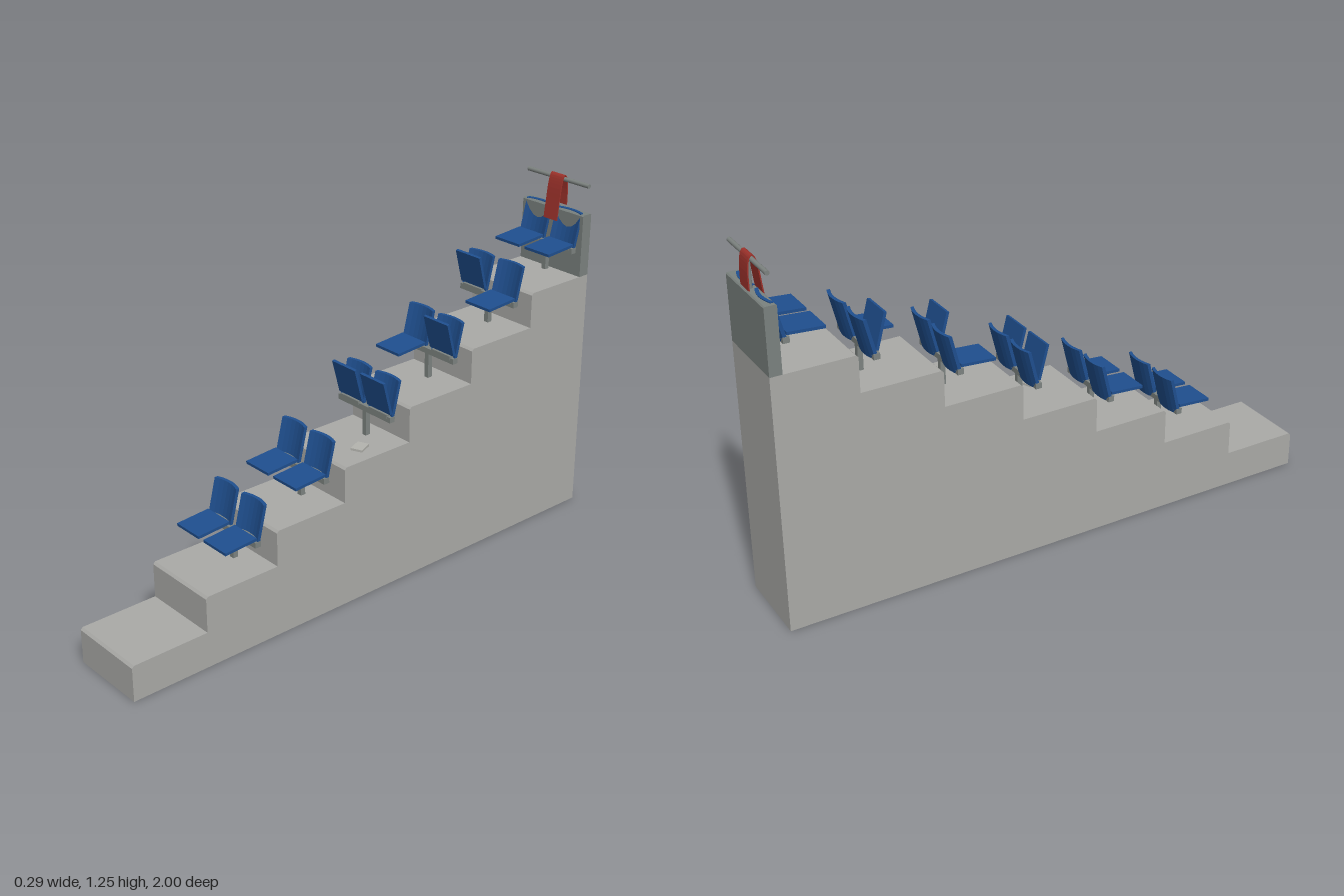
import * as THREE from 'three';

const mat = (name, color) => {
  const m = new THREE.MeshStandardMaterial({ color });
  m.name = name;
  return m;
};

export function createModel() {
  const concrete = mat('concrete', 0xaaaaa7);
  const wallGrey = mat('wallGrey', 0x7b827f);
  const metal = mat('metal', 0x7d8380);
  const blue = mat('seatBlue', 0x1f4f8f);
  const red = mat('clothRed', 0x9e322b);
  const paper = mat('paper', 0xb4b4ae);
  concrete.flatShading = false;

  const model = new THREE.Group();
  model.name = 'grandstand';
  const add = (parent, name, geo, material, x = 0, y = 0, z = 0) => {
    const m = new THREE.Mesh(geo, material);
    m.name = name;
    m.position.set(x, y, z);
    parent.add(m);
    return m;
  };
  const box = (w, h, d) => new THREE.BoxGeometry(w, h, d);

  // Side profile drawn as (-z, y), extruded across x
  const across = (points, width) => {
    const shape = new THREE.Shape(points.map(([a, b]) => new THREE.Vector2(a, b)));
    const g = new THREE.ExtrudeGeometry(shape, { depth: width, bevelEnabled: false });
    g.translate(0, 0, -width / 2);
    return g.rotateY(Math.PI / 2);
  };

  // Stepped concrete body with chamfered nosings
  const STEPS = 7, RISE = 0.129, RUN = 2 / STEPS, W = 0.286, C = 0.008;
  const profile = [[1, 0], [1, STEPS * RISE]];
  for (let i = STEPS - 1; i >= 0; i--) {
    const a = -1 + i * RUN, y = (i + 1) * RISE;
    profile.push([a + C, y], [a, y - C], [a, i * RISE]);
  }
  add(model, 'steps', across(profile, W), concrete);

  // Rear parapet wall
  const base = STEPS * RISE, top = 1.13;
  add(model, 'backWall', across([
    [0.958, base], [1, base], [1, top - 0.004], [0.996, top], [0.962, top], [0.958, top - 0.004],
  ], W), wallGrey);

  // Handrail and its support
  const rail = new THREE.CylinderGeometry(0.008, 0.008, W, 12).rotateZ(Math.PI / 2);
  add(model, 'handrail', rail, metal, 0, 1.232, -0.98);
  add(model, 'railPost', new THREE.CylinderGeometry(0.006, 0.006, 0.11, 10), metal, 0, 1.178, -0.98);

  // Cloth draped over the rail: one folded strip with thickness
  const drape = new THREE.CatmullRomCurve3([
    [0.948, 1.085], [0.956, 1.15], [0.964, 1.21], [0.973, 1.24], [0.98, 1.245],
    [0.988, 1.238], [0.995, 1.2], [0.996, 1.135],
  ].map(([a, y]) => new THREE.Vector3(a, y, 0))).getPoints(24);
  const outer = [], inner = [];
  drape.forEach((p, i) => {
    const q = drape[Math.min(i + 1, 24)], r = drape[Math.max(i - 1, 0)];
    const n = new THREE.Vector2(-(q.y - r.y), q.x - r.x).normalize().multiplyScalar(0.002);
    outer.push([p.x + n.x, p.y + n.y]);
    inner.unshift([p.x - n.x, p.y - n.y]);
  });
  add(model, 'drapedCloth', across([...outer, ...inner], 0.062), red);

  // Curved, reclined seat back: plan arc extruded upward and sheared
  const HW = 0.0575, H = 0.14;
  const plan = new THREE.Shape();
  plan.moveTo(-HW, 0);
  plan.quadraticCurveTo(0, 0.024, HW, 0);
  plan.lineTo(HW, 0.012);
  plan.quadraticCurveTo(0, 0.036, -HW, 0.012);
  const backGeo = new THREE.ExtrudeGeometry(plan, { depth: H, bevelEnabled: false, curveSegments: 6 });
  backGeo.rotateX(-Math.PI / 2);
  const p = backGeo.attributes.position;
  for (let i = 0; i < p.count; i++) p.setZ(i, p.getZ(i) + 0.007 - 0.25 * p.getY(i));
  backGeo.computeVertexNormals();

  // Seat pan, hinged at its rear edge
  const panGeo = box(0.115, 0.01, 0.125).translate(0, 0, 0.0625);

  // Seat pairs on every step but the first; folded lists the raised pans
  const folded = { 3: [-1, 1], 4: [1], 5: [-1] };
  for (let i = 1; i < STEPS; i++) {
    const pair = new THREE.Group();
    pair.name = 'seatPair' + i;
    pair.position.set(0, (i + 1) * RISE, 1 - i * RUN - 0.219);
    add(pair, 'post', box(0.018, 0.1, 0.018), metal, 0, 0.05, 0);
    add(pair, 'crossbar', box(0.26, 0.02, 0.022), metal, 0, 0.1, 0);
    for (const side of [-1, 1]) {
      const x = side * 0.071;
      const up = (folded[i] || []).includes(side);
      add(pair, 'seatBack', backGeo, blue, x, 0.09, 0);
      add(pair, 'seatPan', panGeo, blue, x, 0.12, 0.003).rotation.x = up ? -1.31 : 0.07;
      add(pair, 'hinge', box(0.09, 0.014, 0.026), metal, x, 0.109, 0);
    }
    model.add(pair);
  }

  // Booklet left on a step
  add(model, 'booklet', box(0.042, 0.008, 0.055), paper, 0.066, 4 * RISE + 0.004, 0.01).rotation.y = 0.4;

  return model;
}
